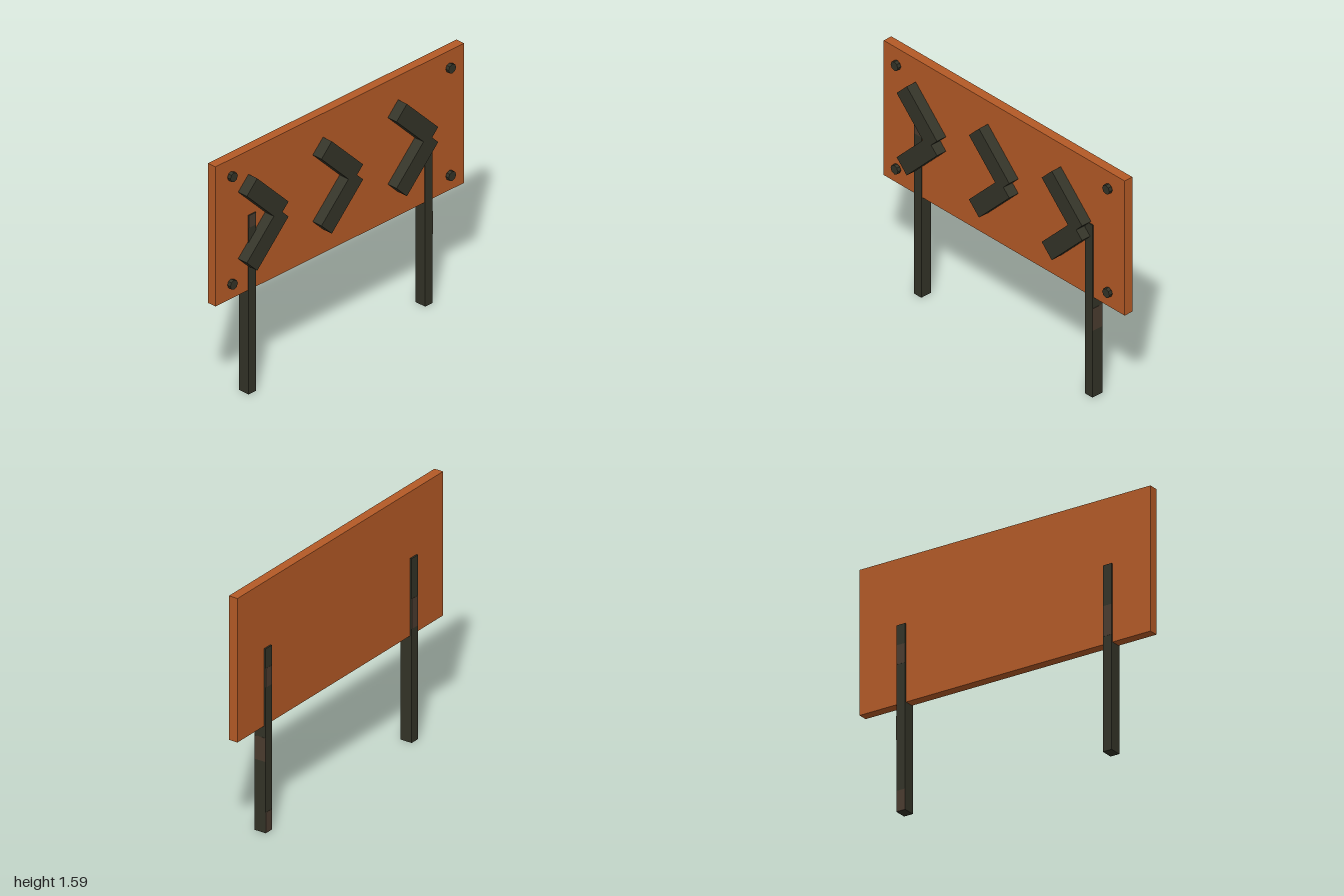
import * as THREE from 'three';

const mat = (name, color) => {
  const m = new THREE.MeshStandardMaterial({ color });
  m.name = name;
  return m;
};

export function createModel() {
  const root = new THREE.Group();
  root.name = 'chevronRoadSign';
  const orange = mat('rust orange', 0xb45a26);
  const dark = mat('dark metal', 0x333327);
  const brown = mat('brown rust', 0x4a3c2f);

  const add = (parent, name, geometry, material, x, y, z) => {
    const mesh = new THREE.Mesh(geometry, material);
    mesh.name = name;
    mesh.position.set(x, y, z);
    parent.add(mesh);
    return mesh;
  };
  const box = (w, h, d) => new THREE.BoxGeometry(w, h, d);

  // Sign board
  add(root, 'board', box(2, 0.91, 0.06), orange, 0, 1.13, -0.03);

  // Posts run through the board and show slightly on both faces
  const postX = 0.71, postW = 0.06, postD = 0.077, postZ = -0.0315;
  for (const side of [-1, 1]) {
    add(root, side > 0 ? 'leftPost' : 'rightPost', box(postW, 1.165, postD), dark,
      side * postX, 0.5825, postZ);
  }

  // Rust patches: thin plates on the post faces [x, bottom, top, z]
  const rust = [
    [postX, 0.92, 1.04, -0.07],
    [postX, 0, 0.13, -0.07],
    [-postX, 0.72, 0.91, -0.07],
    [-postX, 1.085, 1.165, 0.007],
  ];
  for (const [x, y0, y1, z] of rust) {
    add(root, 'rustPatch', box(postW, y1 - y0, 0.002), brown, x, (y0 + y1) / 2, z);
  }
  add(root, 'rustPatchSide', box(0.002, 0.15, postD), brown, postX + postW / 2, 0.525, postZ);

  // Three chevrons, each of two mirrored bars
  const bar = box(0.356, 0.118, 0.07);
  for (const x of [-0.65, -0.05, 0.554]) {
    const chevron = new THREE.Group();
    chevron.name = 'chevron';
    chevron.position.set(x, 1.13, 0.035);
    for (const s of [1, -1]) {
      const arm = add(chevron, s > 0 ? 'upperBar' : 'lowerBar', bar, dark, 0, s * 0.133, 0);
      arm.rotation.z = -s * Math.PI / 4;
    }
    root.add(chevron);
  }

  // Corner bolts
  const bolt = new THREE.CylinderGeometry(0.03, 0.03, 0.024, 8).toNonIndexed();
  bolt.rotateX(Math.PI / 2);
  bolt.computeVertexNormals();
  for (const x of [-0.88, 0.876]) {
    for (const y of [0.78, 1.48]) add(root, 'bolt', bolt, dark, x, y, 0.018);
  }
  return root;
}
